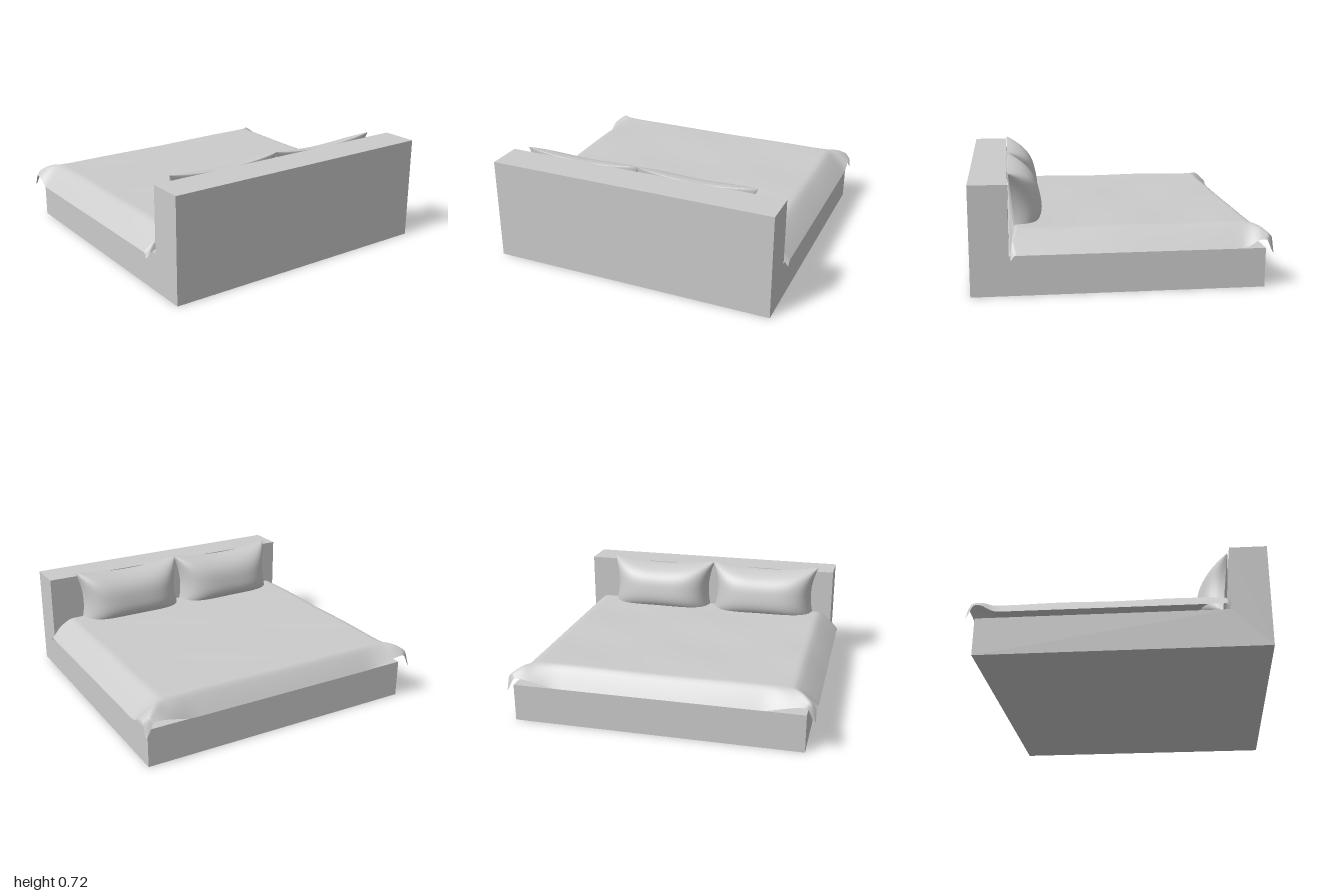
import * as THREE from 'three';
import { mergeVertices } from 'three/addons/utils/BufferGeometryUtils.js';

const solid = new THREE.MeshStandardMaterial({ color: 0xcccccc });
const cloth = new THREE.MeshStandardMaterial({ color: 0xcccccc, side: THREE.DoubleSide });
const { clamp, smoothstep } = THREE.MathUtils;

// Bends a flat grid: place(s, t) maps s, t in -1..1 to a point.
function sheet(nx, ny, place) {
  const geo = new THREE.PlaneGeometry(2, 2, nx, ny);
  const pos = geo.attributes.position;
  for (let i = 0; i < pos.count; i++) pos.setXYZ(i, ...place(pos.getX(i), pos.getY(i)));
  geo.computeVertexNormals();
  return geo;
}

function add(parent, geo, material, name) {
  const mesh = new THREE.Mesh(geo, material);
  mesh.name = name;
  parent.add(mesh);
  return mesh;
}

// Platform and headboard share one L-shaped side profile.
function bedFrame() {
  const profile = new THREE.Shape([
    [-0.89, 0], [0.925, 0], [0.925, 0.685], [0.69, 0.685], [0.69, 0.25], [-0.89, 0.25],
  ].map(([x, y]) => new THREE.Vector2(x, y)));
  return new THREE.ExtrudeGeometry(profile, { depth: 1.9, bevelEnabled: false }).translate(0, 0, -0.97);
}

// Duvet: flat top, drooping edges, flared foot corners with hanging tips.
function duvet() {
  return sheet(72, 72, (s, t) => {
    let x = -0.115 + 0.795 * Math.sin(s * Math.PI / 2);
    const w = Math.sin(t * Math.PI / 2);
    const z = -0.005 - 0.992 * w;
    const side = clamp((Math.abs(w) - 0.85) / 0.15, 0, 1);
    const foot = clamp((-0.81 - x) / 0.1, 0, 1);
    const head = clamp((x - 0.635) / 0.045, 0, 1);
    const corner = smoothstep(Math.abs(w), 0.65, 0.92);
    const d = Math.max(side, foot, head ** 2 * 0.85);
    let y = 0.388 - 0.128 * Math.pow(d, 1.2);
    y += 0.003 * Math.sin(x * 9 + z * 2) * Math.sin(z * 4 + 1) * (1 - d);
    y += 0.035 * side * Math.exp(-(((x + 0.83) / 0.05) ** 2));
    y += 0.055 * foot * corner;
    y -= 0.09 * smoothstep(foot * side, 0.6, 1);
    y -= 0.03 * smoothstep(head * side, 0.4, 1);
    x -= 0.022 * foot * corner;
    return [x, y, z];
  });
}

// Pillow: two bulged faces meeting in a seam with pinched sides and pointed corners.
function pillowFace(bulge) {
  return sheet(28, 24, (a, b) => {
    const s = Math.sin(a * Math.PI / 2), t = Math.sin(b * Math.PI / 2);
    const z = 0.405 * s * (1 - 0.11 * (1 - t * t));
    const y = 0.51 + 0.207 * t * (1 - 0.17 * (1 - s * s));
    const puff = Math.sqrt(Math.max(0, (1 - s ** 4) * (1 - t * t * Math.abs(t))));
    const seam = 0.662 + 0.022 * t;
    return [seam - bulge * puff * (1 - 0.08 * t), y, z];
  });
}

export function createModel() {
  const bed = new THREE.Group();
  bed.name = 'bed';
  add(bed, bedFrame(), solid, 'platformAndHeadboard');
  add(bed, mergeVertices(duvet()), cloth, 'duvet');

  [['leftPillow', -0.38], ['rightPillow', 0.415]].forEach(([name, z]) => {
    const pillow = new THREE.Group();
    pillow.name = name;
    pillow.position.z = z;
    add(pillow, pillowFace(0.185), cloth, 'pillowFront');
    add(pillow, pillowFace(-0.015), cloth, 'pillowBack');
    bed.add(pillow);
  });
  return bed;
}
